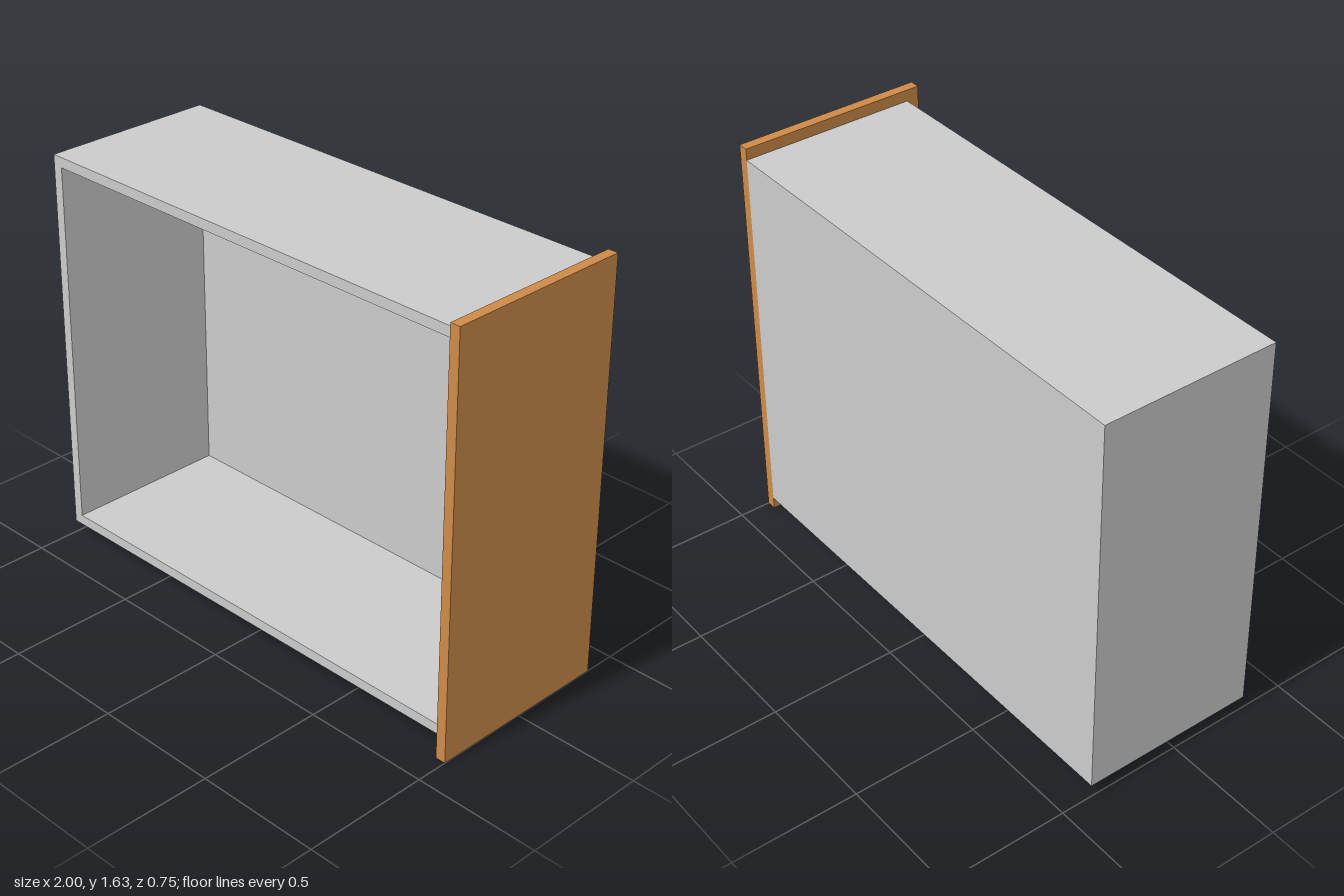
import * as THREE from 'three';

export function createModel() {
  const model = new THREE.Group();
  model.name = 'drawer';
  const grey = new THREE.MeshStandardMaterial({ color: 0xcccccc });
  const wood = new THREE.MeshStandardMaterial({ color: 0xcd8a47 });

  // Box given by its minimum and maximum corners
  function board(name, min, max, material) {
    const size = max.map((v, i) => v - min[i]);
    const mesh = new THREE.Mesh(new THREE.BoxGeometry(...size), material);
    mesh.position.set(...max.map((v, i) => (v + min[i]) / 2));
    mesh.name = name;
    model.add(mesh);
  }

  const wall = 0.04, floor = 0.035;
  const x0 = -1, x1 = 0.96, y0 = 0.05, y1 = 1.585, z0 = -0.375, z1 = 0.325;

  // Three-sided tray: one outline extruded to the rim, open towards the face panel
  const outline = new THREE.Shape([
    [x0, y0], [x1, y0], [x1, y0 + wall], [x0 + wall, y0 + wall],
    [x0 + wall, y1 - wall], [x1, y1 - wall], [x1, y1], [x0, y1],
  ].map(([x, y]) => new THREE.Vector2(x, y)));
  const walls = new THREE.Mesh(
    new THREE.ExtrudeGeometry(outline, { depth: z1 - z0, bevelEnabled: false }), grey);
  walls.position.z = z0;
  walls.name = 'trayWalls';
  model.add(walls);

  // Tray floor, fitted between the walls
  board('trayFloor', [x0 + wall, y0 + wall, z0], [x1, y1 - wall, z0 + floor], grey);

  // Overhanging face panel closing the open end
  board('facePanel', [x1, 0, -0.375], [1, 1.63, 0.375], wood);

  return model;
}
